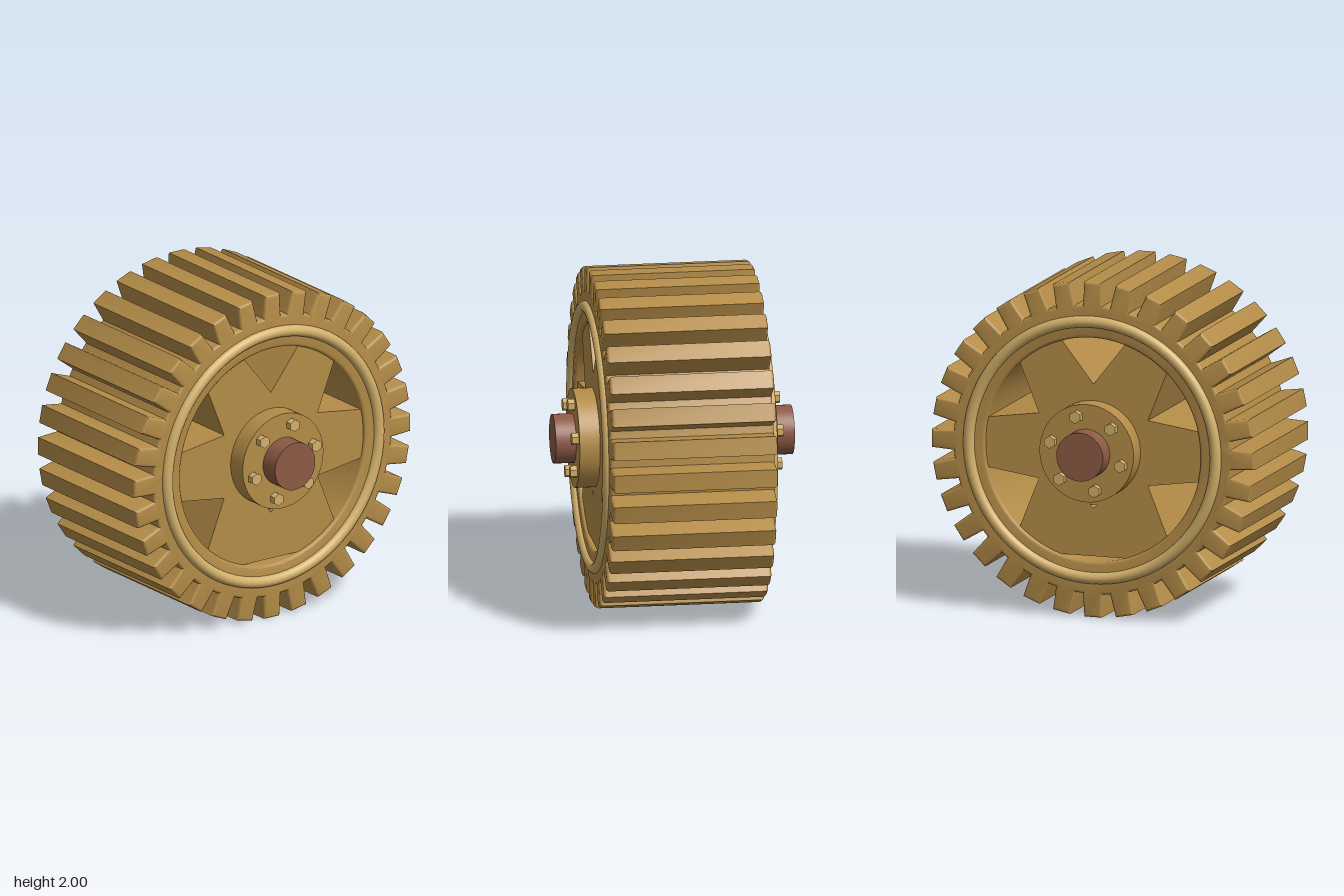
import * as THREE from 'three';
import { toCreasedNormals } from 'three/addons/utils/BufferGeometryUtils.js';

const TEETH = 32;
const material = (color) => new THREE.MeshStandardMaterial({ color });
const polar = (r, a) => new THREE.Vector2(r * Math.cos(a), r * Math.sin(a));
const deg = THREE.MathUtils.degToRad;

// Toothed rim with a round bore and softly bevelled edges
function rimGeometry() {
  const bevel = 0.018, depth = 0.97 - 2 * bevel;
  const points = [];
  for (let i = 0; i < TEETH; i++) {
    const a = Math.PI / 2 + (i / TEETH) * Math.PI * 2;
    for (const [r, t] of [[0.845, -0.045], [0.982, -0.037], [0.982, 0.037], [0.845, 0.045]]) {
      points.push(new THREE.Vector2(r, t).rotateAround(new THREE.Vector2(), a));
    }
  }
  const shape = new THREE.Shape(points);
  shape.holes.push(new THREE.Path().absarc(0, 0, 0.685, 0, Math.PI * 2, true));
  const geo = new THREE.ExtrudeGeometry(shape, {
    depth, bevelSize: bevel, bevelThickness: bevel, bevelSegments: 3, curveSegments: 48,
  });
  geo.translate(0, 0, -depth / 2);
  return toCreasedNormals(geo, 0.6);
}

// Six tapered spokes; the lowest gap is closed by a web
function spokesGeometry() {
  const depth = 0.93, half = deg(17.4), points = [];
  for (let i = 0; i < 6; i++) {
    const a = deg(30 + i * 60);
    if (i === 4) {
      points.push(new THREE.Vector2(-0.203, -0.637), new THREE.Vector2(0.203, -0.637));
    } else {
      points.push(polar(0.68, a - half), polar(0.39, a), polar(0.68, a + half));
    }
    points.push(polar(0.685, a + deg(30)));
  }
  const shape = new THREE.Shape(points);
  shape.holes.push(new THREE.Path([
    new THREE.Vector2(-0.022, -0.33), new THREE.Vector2(0, -0.352), new THREE.Vector2(0.022, -0.33),
  ]));
  const geo = new THREE.ExtrudeGeometry(shape, { depth, bevelEnabled: false });
  return geo.translate(0, 0, -depth / 2);
}

// Cylinder lying along z
const rod = (r, length, sides) =>
  new THREE.CylinderGeometry(r, r, length, sides).rotateX(Math.PI / 2);

export function createModel() {
  const model = new THREE.Group();
  const bronze = material(0xb48c48), brass = material(0xd2b06a), axleBrown = material(0x8d5a45);

  const add = (name, geo, mat, x = 0, y = 0, z = 0) => {
    const mesh = new THREE.Mesh(geo, mat);
    mesh.name = name;
    mesh.position.set(x, y + 1, z);
    model.add(mesh);
    return mesh;
  };

  add('toothedRim', rimGeometry(), bronze);
  add('spokes', spokesGeometry(), bronze);
  add('hub', rod(0.292, 1.17, 48), bronze);
  add('axle', rod(0.145, 1.41, 40), axleBrown);

  // Trim ring and hub bolts on both faces
  const ring = new THREE.TorusGeometry(0.765, 0.035, 16, 96);
  const bolt = toCreasedNormals(rod(0.037, 0.08, 6), 0.3);
  for (const side of [1, -1]) {
    add('trimRing', ring, brass, 0, 0, side * 0.482);
    for (let i = 0; i < 6; i++) {
      const p = polar(0.225, deg(15 + i * 60));
      add('hubBolt', bolt, brass, p.x, p.y, side * 0.585);
    }
  }
  return model;
}
